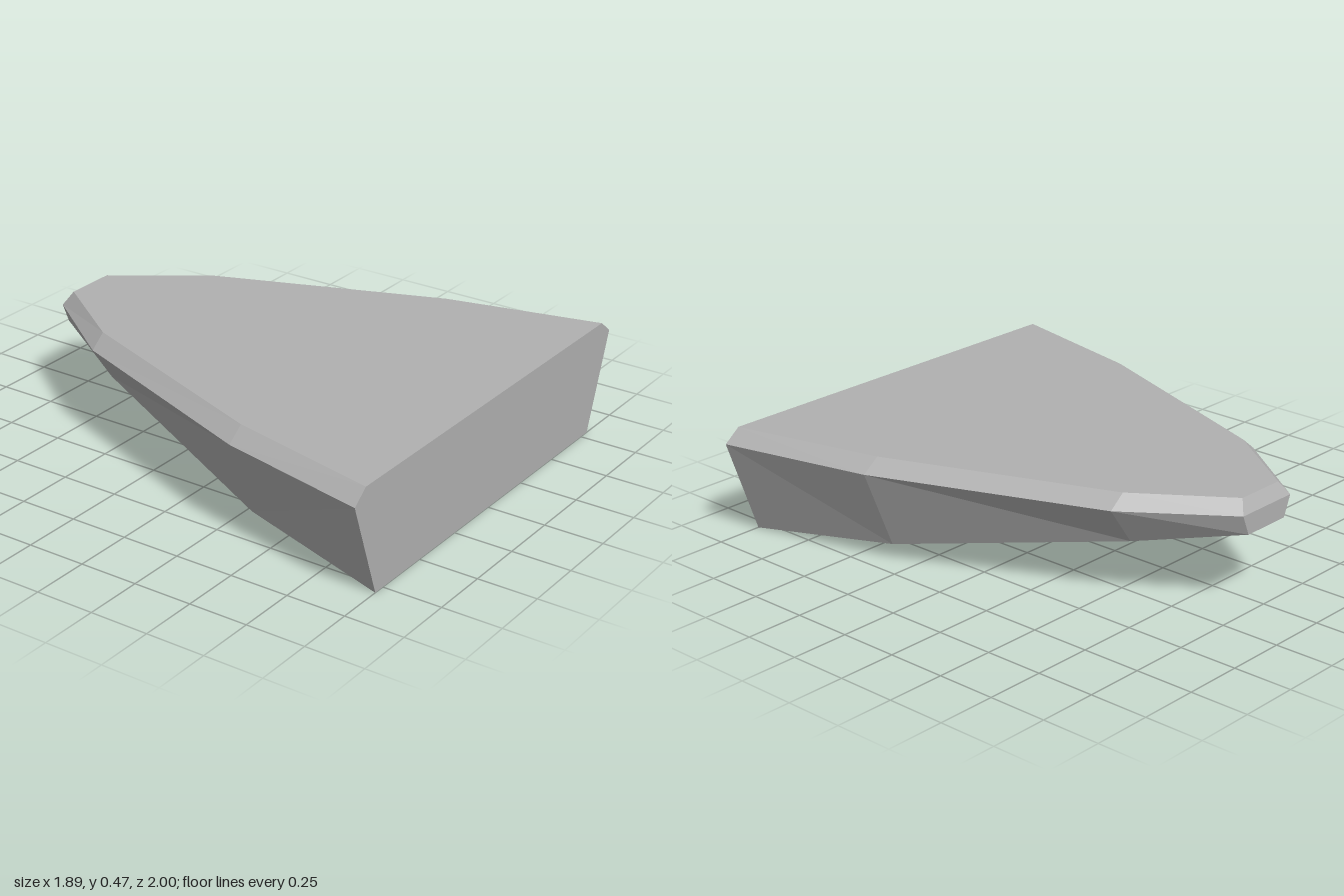
import * as THREE from 'three';

const grey = new THREE.MeshStandardMaterial({ color: 0xb0b0b0 });
grey.name = 'plain grey';

const RIM_Y = 0.41, TOP_Y = 0.465;

// Stations front to back: z, bottom half-width, bottom height, rim half-width, deck half-width, deck z
const stations = [
  [1, 0.8, 0, 0.945, 0.875, 1],
  [0.35, 0.66, 0.07, 0.8, 0.727, 0.35],
  [-0.6, 0.32, 0.25, 0.435, 0.367, -0.6],
  [-1, 0.11, 0.325, 0.145, 0.11, -0.967],
];

// Six-cornered section, counter-clockwise seen from the front
function section([z, bw, by, rw, tw, tz]) {
  return [
    [-bw, by, z], [bw, by, z], [rw, RIM_Y, z],
    [tw, TOP_Y, tz], [-tw, TOP_Y, tz], [-rw, RIM_Y, z],
  ];
}

function hullGeometry() {
  const rings = stations.map(section);
  const positions = [];
  const tri = (a, b, c) => positions.push(...a, ...b, ...c);

  // Skin between neighbouring sections, with side creases mirrored
  for (let i = 0; i < rings.length - 1; i++) {
    const f = rings[i], b = rings[i + 1];
    for (let j = 0; j < 6; j++) {
      const k = (j + 1) % 6;
      if (j === 1 || j === 2) {
        tri(f[j], b[j], f[k]);
        tri(f[k], b[j], b[k]);
      } else {
        tri(f[j], b[j], b[k]);
        tri(f[j], b[k], f[k]);
      }
    }
  }

  // End caps: wall below the rim, bevel above it
  const front = rings[0], back = rings[rings.length - 1];
  for (const [a, b, c] of [[0, 1, 2], [0, 2, 5], [5, 2, 3], [5, 3, 4]]) {
    tri(front[a], front[b], front[c]);
    tri(back[a], back[c], back[b]);
  }

  const geometry = new THREE.BufferGeometry();
  geometry.setAttribute('position', new THREE.Float32BufferAttribute(positions, 3));
  geometry.computeVertexNormals(); // unshared corners give flat facets
  return geometry;
}

export function createModel() {
  const group = new THREE.Group();
  group.name = 'taperedHull';
  const hull = new THREE.Mesh(hullGeometry(), grey);
  hull.name = 'hull';
  group.add(hull);
  return group;
}
